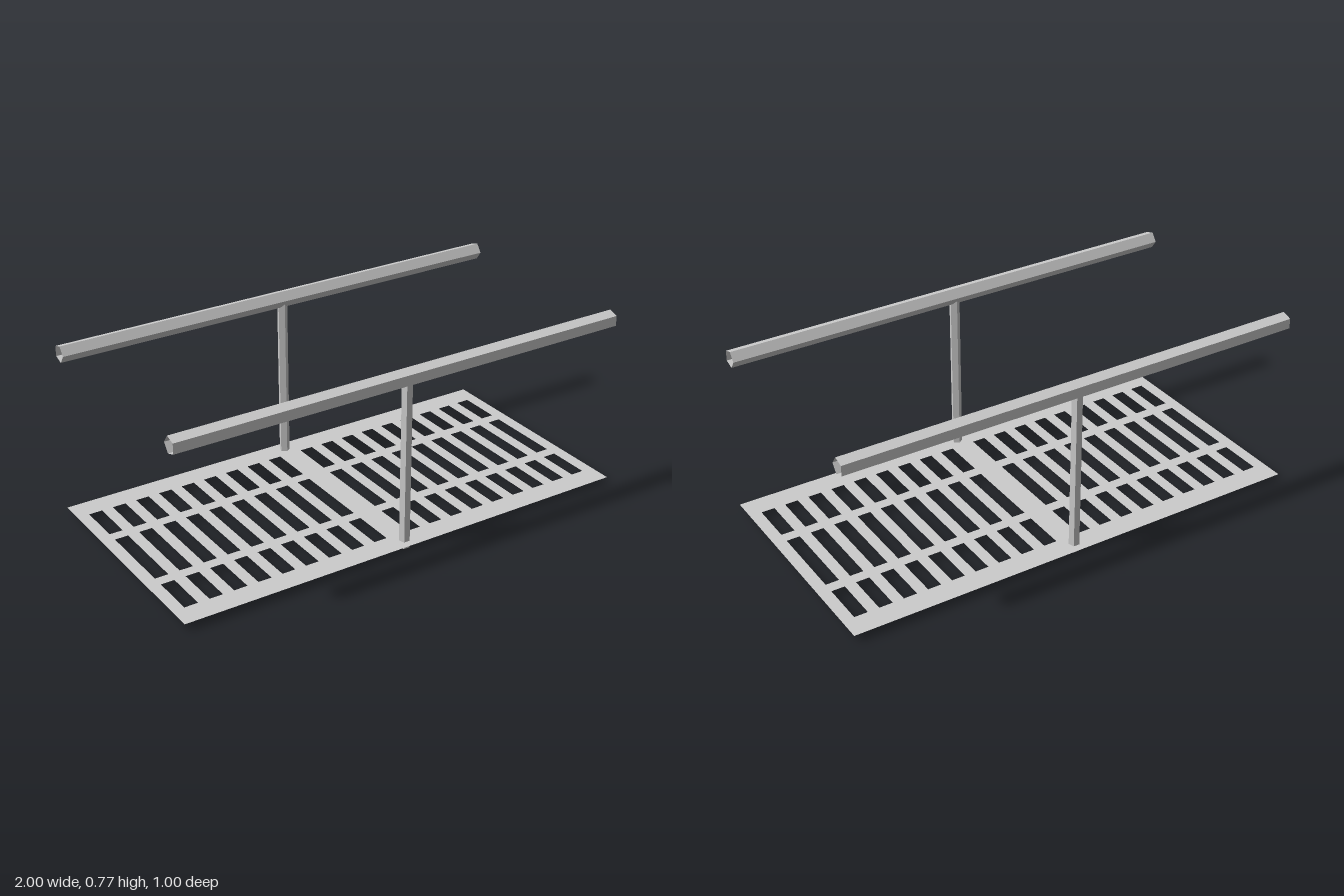
import * as THREE from 'three';

const material = new THREE.MeshStandardMaterial({
  color: 0xcccccc, flatShading: true, side: THREE.DoubleSide,
});

// Open five-sided tube along y, with one edge pointing to -z
function pentagonTube(name, radius, length) {
  const geometry = new THREE.CylinderGeometry(radius, radius, length, 5, 1, true, Math.PI);
  const mesh = new THREE.Mesh(geometry, material);
  mesh.name = name;
  return mesh;
}

function rectangle(PathType, x0, x1, z0, z1) {
  return new PathType([[x0, z0], [x1, z0], [x1, z1], [x0, z1]]
    .map(([x, z]) => new THREE.Vector2(x, z)));
}

// Thin slotted plate: three rows of slots on each side of a solid middle strip
function slottedPlate() {
  const shape = rectangle(THREE.Shape, -1, 1, -0.5, 0.5);
  const rows = [[-0.402, -0.217], [-0.169, 0.169], [0.217, 0.402]];
  const halfWidth = 0.0285;
  for (const side of [-1, 1]) {
    for (let i = 0; i < 9; i++) {
      const x = side * (0.08 + i * 0.105);
      for (const [z0, z1] of rows) {
        shape.holes.push(rectangle(THREE.Path, x - halfWidth, x + halfWidth, z0, z1));
      }
    }
  }
  const geometry = new THREE.ShapeGeometry(shape).rotateX(-Math.PI / 2);
  const mesh = new THREE.Mesh(geometry, material);
  mesh.name = 'slottedPlate';
  mesh.position.y = 0.03;
  return mesh;
}

// Post carrying a long rail
function railing(name) {
  const group = new THREE.Group();
  group.name = name;
  const post = pentagonTube('post', 0.022, 0.735);
  post.position.set(0, 0.3675, 0.45);
  const rail = pentagonTube('rail', 0.0365, 2);
  rail.rotation.z = Math.PI / 2;
  rail.position.set(0, 0.735, 0.45);
  group.add(post, rail);
  return group;
}

export function createModel() {
  const model = new THREE.Group();
  model.name = 'slottedPlatformWithRails';
  const back = railing('backRailing');
  back.rotation.y = Math.PI;
  model.add(slottedPlate(), railing('frontRailing'), back);
  return model;
}
